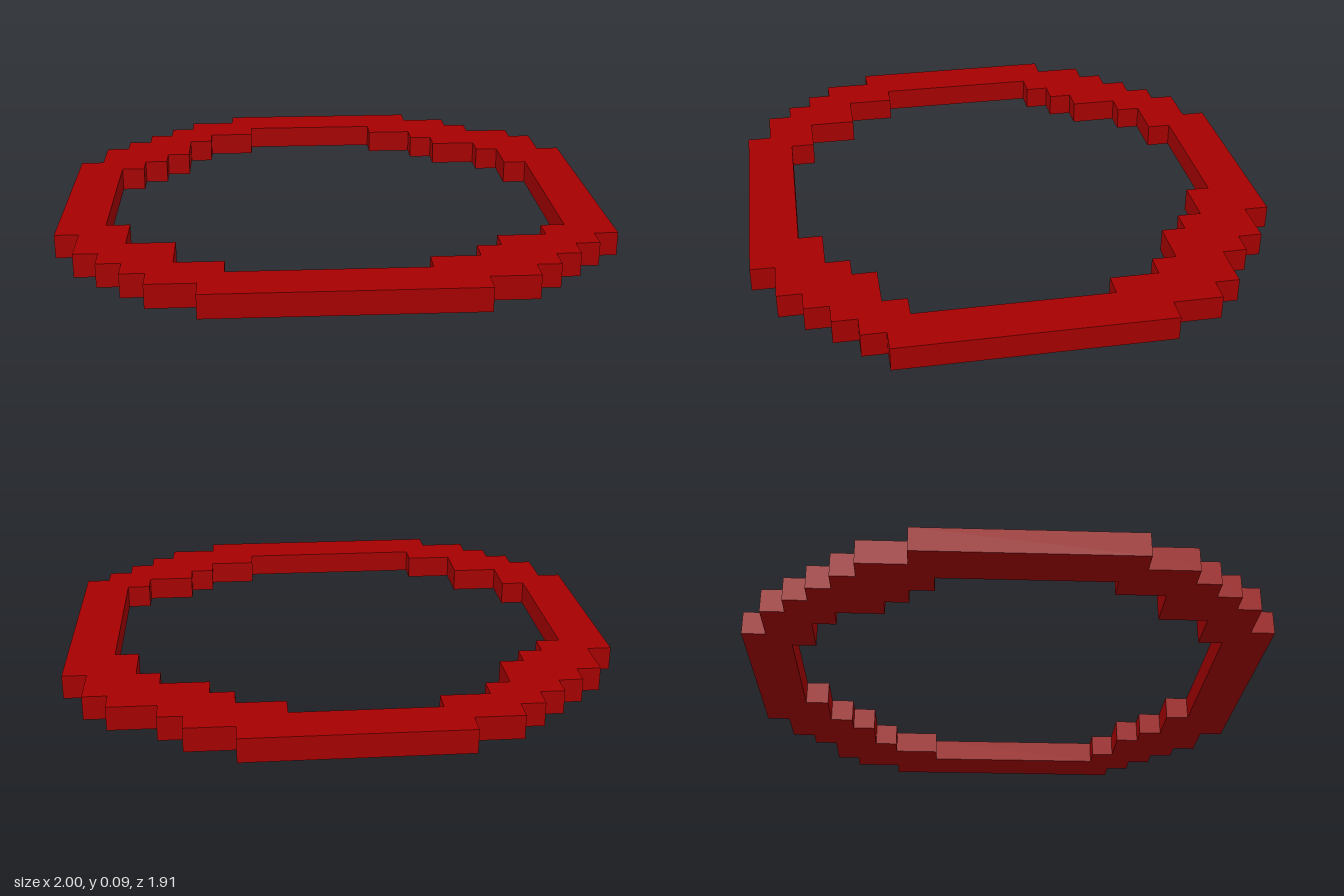
import * as THREE from 'three';

const U = 2 / 23; // one block of the stepped grid

// [left, right] block columns for each row, from back to front
const OUTER = [
  [7, 16], [5, 18], [4, 19], [3, 21], [2, 22], [1, 22], [1, 23],
  ...Array(9).fill([0, 23]),
  [1, 23], [1, 22], [2, 21], [3, 20], [4, 19], [6, 17],
];
const INNER = [ // starts at row 2
  [8, 14], [6, 16], [5, 17], [5, 19], [4, 20], [3, 20],
  ...Array(7).fill([2, 21]),
  [3, 21], [3, 20], [5, 18], [5, 17], [7, 15],
];

// Stepped outline: down the left edge, back up the right edge
function outline(rows, firstRow) {
  const corners = [];
  rows.forEach(([l], i) => corners.push([l, firstRow + i], [l, firstRow + i + 1]));
  [...rows.entries()].reverse().forEach(([i, [, r]]) =>
    corners.push([r, firstRow + i + 1], [r, firstRow + i]));
  // keep only true corners, where the direction turns
  const n = corners.length;
  return corners
    .filter((p, i) => {
      const q = corners[(i + n - 1) % n];
      return p[0] !== q[0] || p[1] !== q[1];
    })
    .filter((p, i, a) => {
      const q = a[(i + a.length - 1) % a.length], s = a[(i + 1) % a.length];
      return !((q[0] === p[0] && p[0] === s[0]) || (q[1] === p[1] && p[1] === s[1]));
    })
    .map(([c, r]) => new THREE.Vector2((c - 11.5) * U, (r - 11) * U));
}

export function createModel() {
  const group = new THREE.Group();
  group.name = 'blockRing';
  const darkRed = new THREE.MeshStandardMaterial({ color: 0xa50000 });
  darkRed.name = 'darkRed';

  // Flat ring with a stepped rim and a stepped opening, wound opposite ways
  const shape = new THREE.Shape(outline(OUTER, 0).reverse());
  shape.holes.push(new THREE.Path(outline(INNER, 2)));
  const geometry = new THREE.ExtrudeGeometry(shape, { depth: U, bevelEnabled: false });
  geometry.rotateX(Math.PI / 2).translate(0, U, 0);

  const ring = new THREE.Mesh(geometry, darkRed);
  ring.name = 'ring';
  group.add(ring);
  return group;
}
